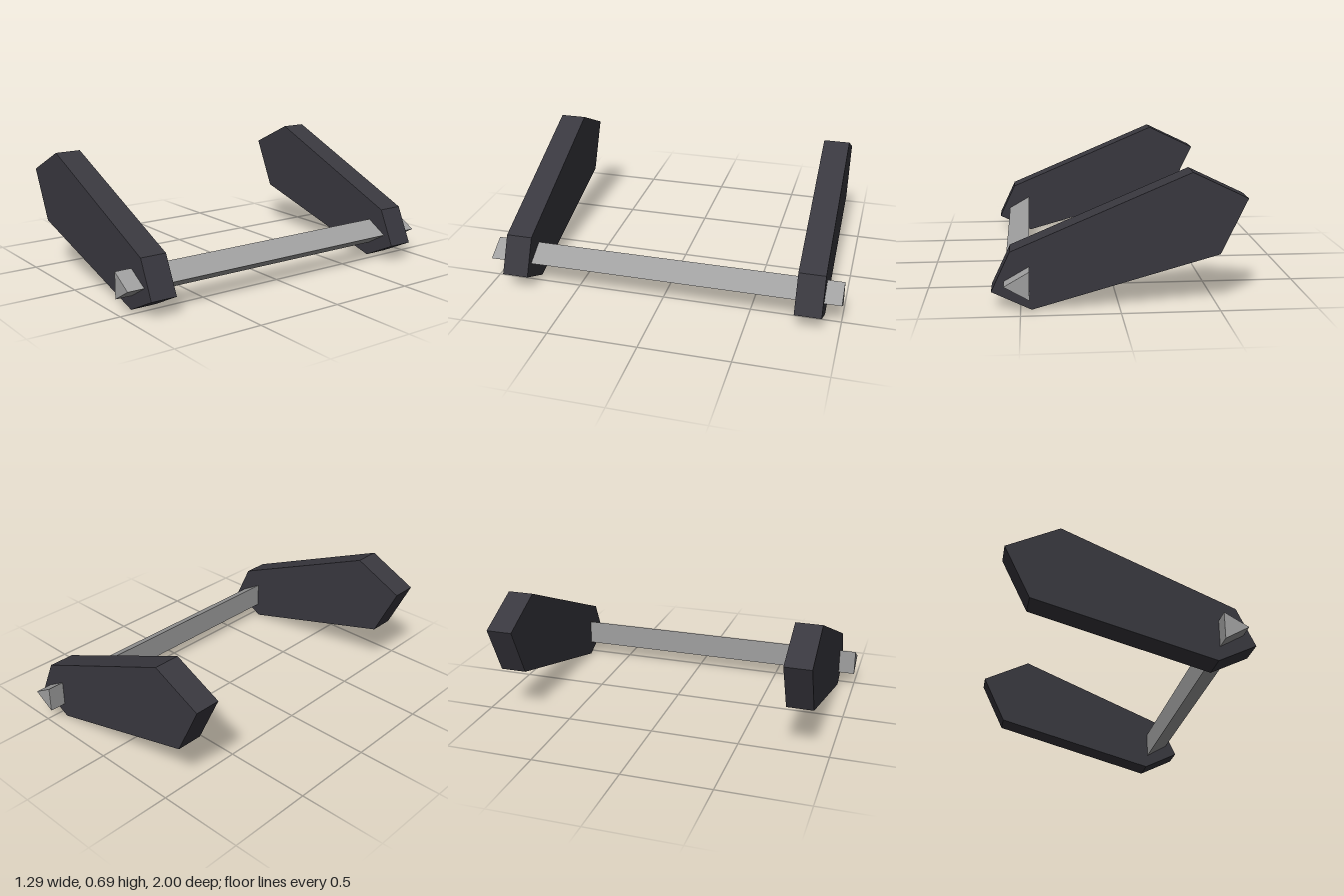
import * as THREE from 'three';

// Extrudes an outline in the xy plane from zMin to zMax
function prism(name, outline, zMin, zMax, material) {
  const shape = new THREE.Shape(outline.map(([x, y]) => new THREE.Vector2(x, y)));
  const geometry = new THREE.ExtrudeGeometry(shape, { depth: zMax - zMin, bevelEnabled: false });
  geometry.translate(0, 0, zMin);
  const mesh = new THREE.Mesh(geometry, material);
  mesh.name = name;
  return mesh;
}

export function createModel() {
  const darkGrey = new THREE.MeshStandardMaterial({ color: 0x39383f });
  darkGrey.name = 'dark grey';
  const lightGrey = new THREE.MeshStandardMaterial({ color: 0xa0a0a0 });
  lightGrey.name = 'light grey';

  const model = new THREE.Group();
  model.name = 'pedalArms';

  // Two tapered six-sided arms
  const armOutline = [
    [-0.648, 0.553], [-0.512, 0.267], [0.444, 0],
    [0.646, 0.098], [0.55, 0.302], [-0.363, 0.69],
  ];
  model.add(prism('frontArm', armOutline, 0.757, 0.905, darkGrey));
  model.add(prism('backArm', armOutline, -0.905, -0.757, darkGrey));

  // Three-sided axle passing through both arms
  const axleOutline = [[0.455, 0.079], [0.581, 0.152], [0.455, 0.225]];
  model.add(prism('axle', axleOutline, -1, 1, lightGrey));

  return model;
}
